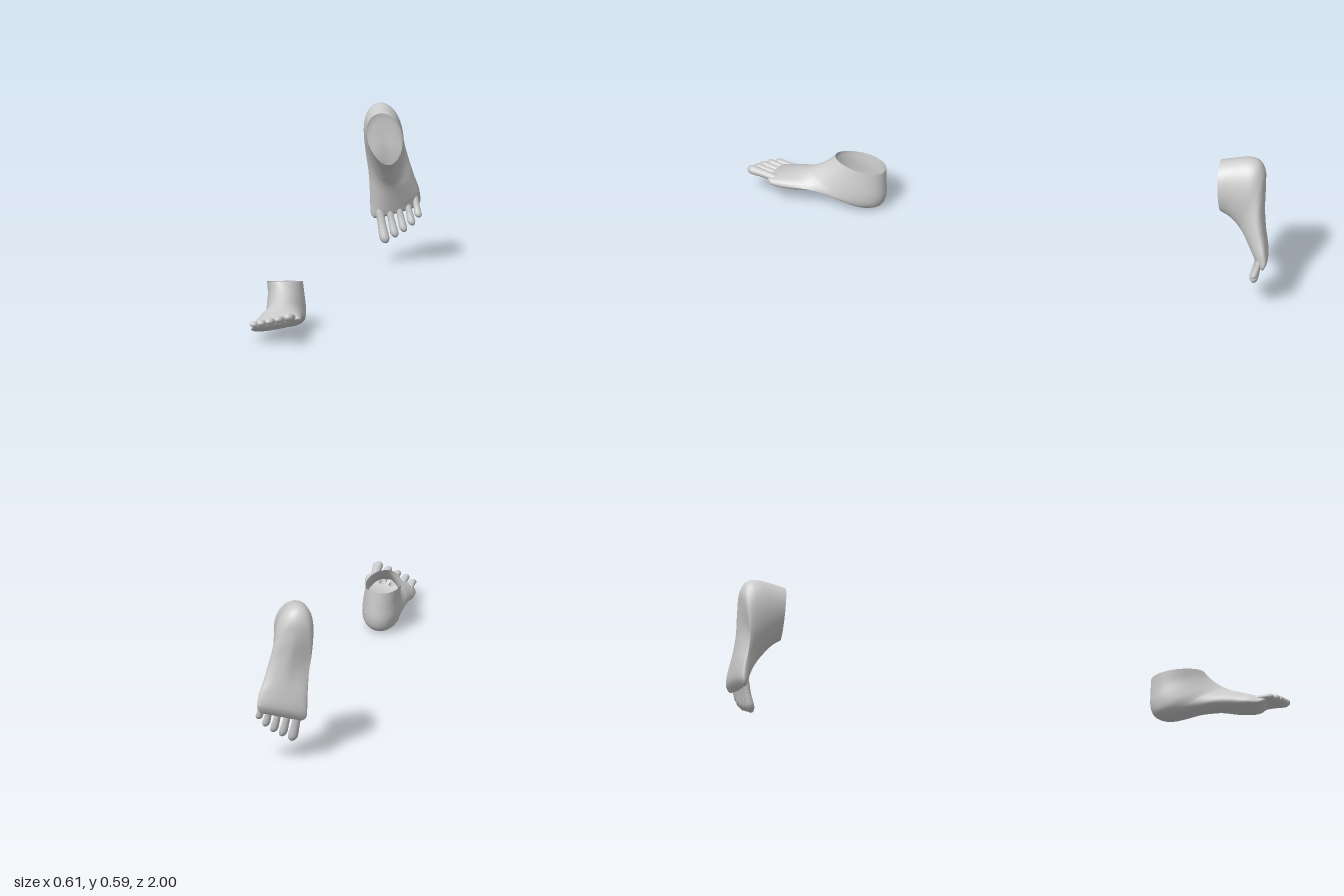
import * as THREE from 'three';

const V = (x, y, z) => new THREE.Vector3(x, y, z);
const mat = new THREE.MeshStandardMaterial({ color: 0xcccccc, side: THREE.DoubleSide });

// Smooth skin through rings; point(u, a) gives a position, side -1 mirrors it in x
function loft(name, rings, segs, side, point) {
  const pos = [], idx = [];
  for (let i = 0; i <= rings; i++) {
    for (let j = 0; j < segs; j++) {
      const p = point(i / rings, (j / segs) * Math.PI * 2);
      pos.push(p.x * side, p.y, p.z);
      if (i === rings) continue;
      const k = (j + 1) % segs;
      const a = i * segs + j, b = a + segs, c = i * segs + k, d = c + segs;
      if (side > 0) idx.push(a, b, c, b, d, c);
      else idx.push(a, c, b, b, c, d);
    }
  }
  const g = new THREE.BufferGeometry();
  g.setAttribute('position', new THREE.Float32BufferAttribute(pos, 3));
  g.setIndex(idx);
  g.computeVertexNormals();
  const mesh = new THREE.Mesh(g, mat);
  mesh.name = name;
  return mesh;
}

// Sections fanning from the ankle opening round the heel to the toe roots:
// back/sole z, y - front/instep z, y - centre x, half width
const SECTIONS = [
  [0.485, 0.160, 0.675, 0.187, 0.172, 0.064],
  [0.483, 0.105, 0.697, 0.167, 0.168, 0.065],
  [0.484, 0.050, 0.718, 0.152, 0.167, 0.069],
  [0.500, 0.016, 0.735, 0.142, 0.168, 0.071],
  [0.540, 0.002, 0.752, 0.133, 0.170, 0.071],
  [0.600, 0.009, 0.773, 0.122, 0.177, 0.073],
  [0.680, 0.025, 0.800, 0.112, 0.189, 0.076],
  [0.750, 0.033, 0.830, 0.104, 0.198, 0.081],
  [0.810, 0.036, 0.860, 0.097, 0.206, 0.087],
  [0.860, 0.042, 0.885, 0.092, 0.209, 0.089],
  [0.895, 0.055, 0.905, 0.088, 0.212, 0.087],
];
const spline = (f) => new THREE.CatmullRomCurve3(SECTIONS.map(f));
const soleLine = spline((s) => V(0, s[1], s[0]));
const instepLine = spline((s) => V(0, s[3], s[2]));
const widthLine = spline((s) => V(s[4], s[5], 0));
const round = (v, e) => Math.sign(v) * Math.pow(Math.abs(v), e);

function footBody(side) {
  return loft('footBody', 72, 48, side, (v, a) => {
    const u = 1 - Math.pow(1 - v, 1.25);
    const B = soleLine.getPoint(u), T = instepLine.getPoint(u), W = widthLine.getPoint(u);
    const fore = THREE.MathUtils.smoothstep(u, 0.4, 0.95);
    const cap = Math.sqrt(Math.max(0, 1 - Math.pow(Math.max(0, (u - 0.92) / 0.08), 2)));
    const e = 1 - 0.2 * fore;
    const c = round(Math.cos(a), e) * cap, s = round(Math.sin(a), e);
    // narrower towards the instep
    const dx = W.y * s * (1 - 0.12 * c) * (0.8 + 0.2 * cap);
    const p = V(W.x + dx + 0.012 * c * (1 - fore), 0, 0);
    p.y = (B.y + T.y) / 2 + ((T.y - B.y) / 2) * c - dx * 0.22 * fore;
    p.z = (B.z + T.z) / 2 + ((T.z - B.z) / 2) * c - dx * 0.22 * fore;
    // inner arch
    if (c < 0 && s < 0) p.y += 0.035 * c * s * Math.exp(-Math.pow((u - 0.62) / 0.12, 2));
    return p;
  });
}

// Root x, y, z - tip x, y, z - radius, from big toe to little toe
const TOES = [
  [0.147, 0.082, 0.868, 0.173, 0.108, 0.995, 0.0185],
  [0.181, 0.077, 0.865, 0.209, 0.096, 0.977, 0.0155],
  [0.215, 0.070, 0.858, 0.241, 0.086, 0.960, 0.0150],
  [0.248, 0.062, 0.848, 0.270, 0.077, 0.938, 0.0145],
  [0.277, 0.055, 0.835, 0.294, 0.068, 0.910, 0.0135],
];

function toe(t, side, curl) {
  const root = V(t[0], t[1], t[2]), tip = V(t[3], t[4] + curl, t[5]);
  const mid = root.clone().lerp(tip, 0.5).add(V(0, 0.002 - curl * 0.15, 0));
  const path = new THREE.CatmullRomCurve3([root, mid, tip]);
  return loft('toe', 24, 18, side, (v, a) => {
    const u = Math.sin((v * Math.PI) / 2);
    const end = Math.sqrt(Math.max(0, 1 - Math.pow(Math.max(0, (u - 0.82) / 0.18), 2)));
    const r = t[6] * (0.84 + 0.16 * THREE.MathUtils.smoothstep(u, 0.45, 0.85)) * end;
    const p = path.getPoint(u);
    // slightly flattened toe section
    return p.add(V(Math.sin(a) * r, Math.cos(a) * r * 0.85, -Math.cos(a) * r * 0.25));
  });
}

function foot(name, side, curl) {
  const g = new THREE.Group();
  g.name = name;
  g.add(footBody(side));
  for (const t of TOES) g.add(toe(t, side, curl));
  return g;
}

export function createModel() {
  const model = new THREE.Group();
  model.name = 'pairOfFeet';

  // Leading foot, heel on the ground
  const right = foot('rightFoot', -1, 0);
  right.rotation.y = 0.03;
  right.position.set(-0.029, 0, -0.004);

  // Trailing foot, toes pointing down
  const left = foot('leftFoot', 1, 0.028);
  left.rotation.x = THREE.MathUtils.degToRad(101);
  left.position.set(0, 1.0735, -0.871);

  model.add(right, left);
  return model;
}
